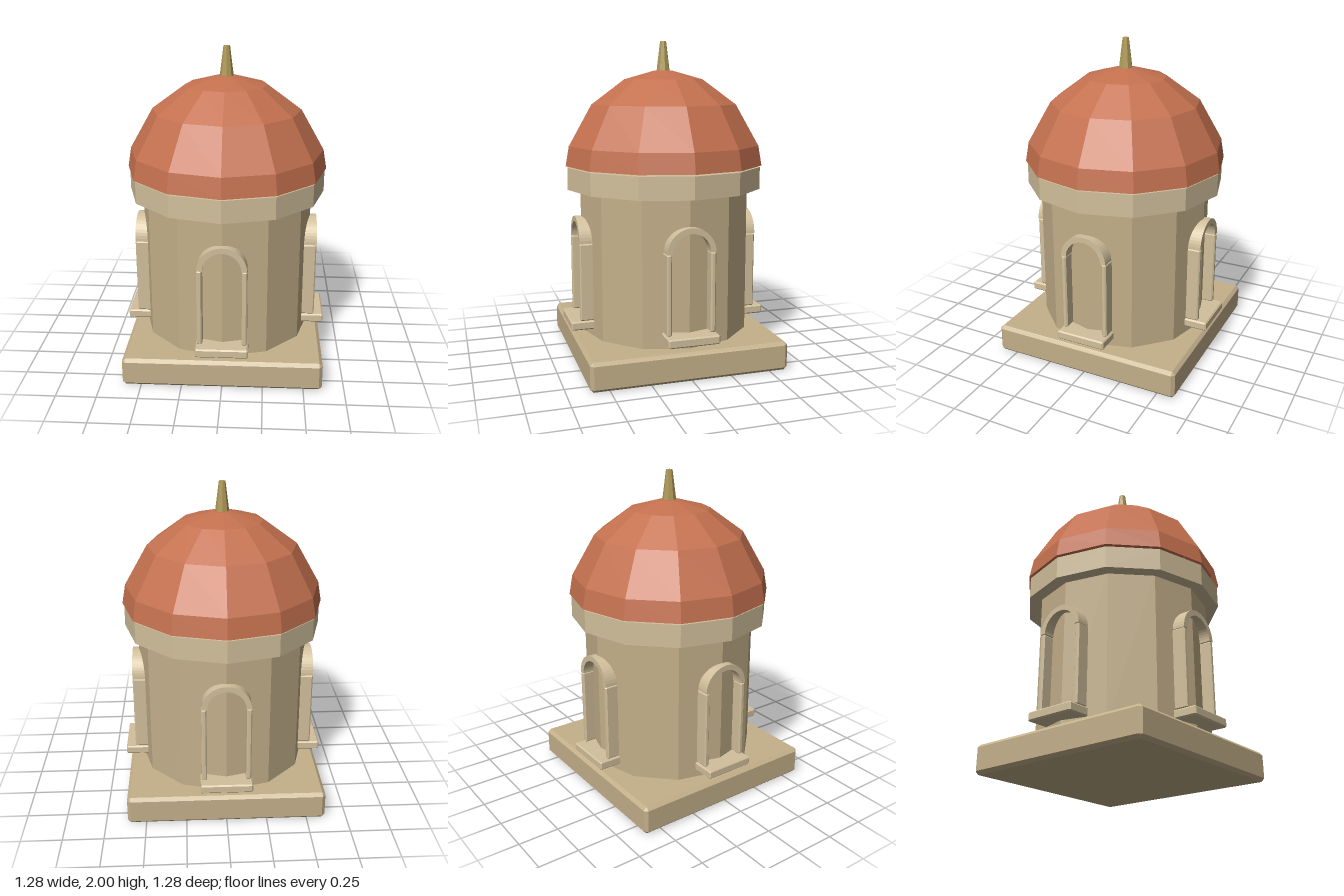
import * as THREE from 'three';
import { ConvexGeometry } from 'three/addons/geometries/ConvexGeometry.js';

const material = (color) => new THREE.MeshStandardMaterial({ color, flatShading: true });
const stone = material(0xc4b08a);
const trim = material(0xd2c09c);
const tile = material(0xc4714f);
const brass = material(0xb09a58);
tile.side = THREE.DoubleSide;

function part(parent, name, geometry, mat, x = 0, y = 0, z = 0) {
  const mesh = new THREE.Mesh(geometry, mat);
  mesh.name = name;
  mesh.position.set(x, y, z);
  parent.add(mesh);
  return mesh;
}

// Box with every edge cut by a flat chamfer c
function chamferBox(w, h, d, c) {
  const points = [];
  for (const sx of [-1, 1]) for (const sy of [-1, 1]) for (const sz of [-1, 1]) {
    for (let full = 0; full < 3; full++) {
      points.push(new THREE.Vector3(
        sx * (w / 2 - (full === 0 ? 0 : c)),
        sy * (h / 2 - (full === 1 ? 0 : c)),
        sz * (d / 2 - (full === 2 ? 0 : c))));
    }
  }
  return new ConvexGeometry(points);
}

// Half-ring arch, extruded along z
function archGeometry(outer, inner, depth) {
  const shape = new THREE.Shape();
  shape.absarc(0, 0, outer, 0, Math.PI, false);
  shape.absarc(0, 0, inner, Math.PI, 0, true);
  shape.closePath();
  return new THREE.ExtrudeGeometry(shape, { depth, bevelEnabled: false, curveSegments: 12 });
}

// Arched surround: sill, two jambs and an arch, facing +z
function createWindow() {
  const group = new THREE.Group();
  group.name = 'window';
  part(group, 'sill', chamferBox(0.32, 0.055, 0.18, 0.008), trim, 0, 0.2525, 0.55);
  for (const s of [-1, 1]) {
    part(group, 'jamb', chamferBox(0.032, 0.49, 0.1, 0.008), trim, s * 0.136, 0.524, 0.53);
  }
  const arch = part(group, 'arch', archGeometry(0.15, 0.116, 0.1), trim, 0, 0.769, 0.48);
  arch.material = trim.clone();
  arch.material.flatShading = false;
  return group;
}

export function createModel() {
  const model = new THREE.Group();
  model.name = 'domedPavilion';

  // Square plinth and twelve-sided body
  part(model, 'base', chamferBox(1.23, 0.18, 1.23, 0.02), stone, 0, 0.09, 0);
  part(model, 'drum', new THREE.CylinderGeometry(0.54, 0.54, 0.95, 12), stone, 0, 0.635, 0);
  part(model, 'cornice', new THREE.CylinderGeometry(0.62, 0.62, 0.138, 12), trim, 0, 1.156, 0);

  // One window on each side
  for (let i = 0; i < 4; i++) {
    const opening = createWindow();
    opening.rotation.y = i * Math.PI / 2;
    model.add(opening);
  }

  // Faceted dome, open underneath, just clear of the cornice
  const profile = [[0.63, 1.235], [0.608, 1.358], [0.463, 1.612], [0.252, 1.766], [0.06, 1.819], [0, 1.822]]
    .map(([r, y]) => new THREE.Vector2(r, y));
  part(model, 'dome', new THREE.LatheGeometry(profile, 12), tile);

  // Tapered spike
  part(model, 'finial', new THREE.CylinderGeometry(0.02, 0.044, 0.19, 8), brass, 0, 1.905, 0);

  return model;
}
